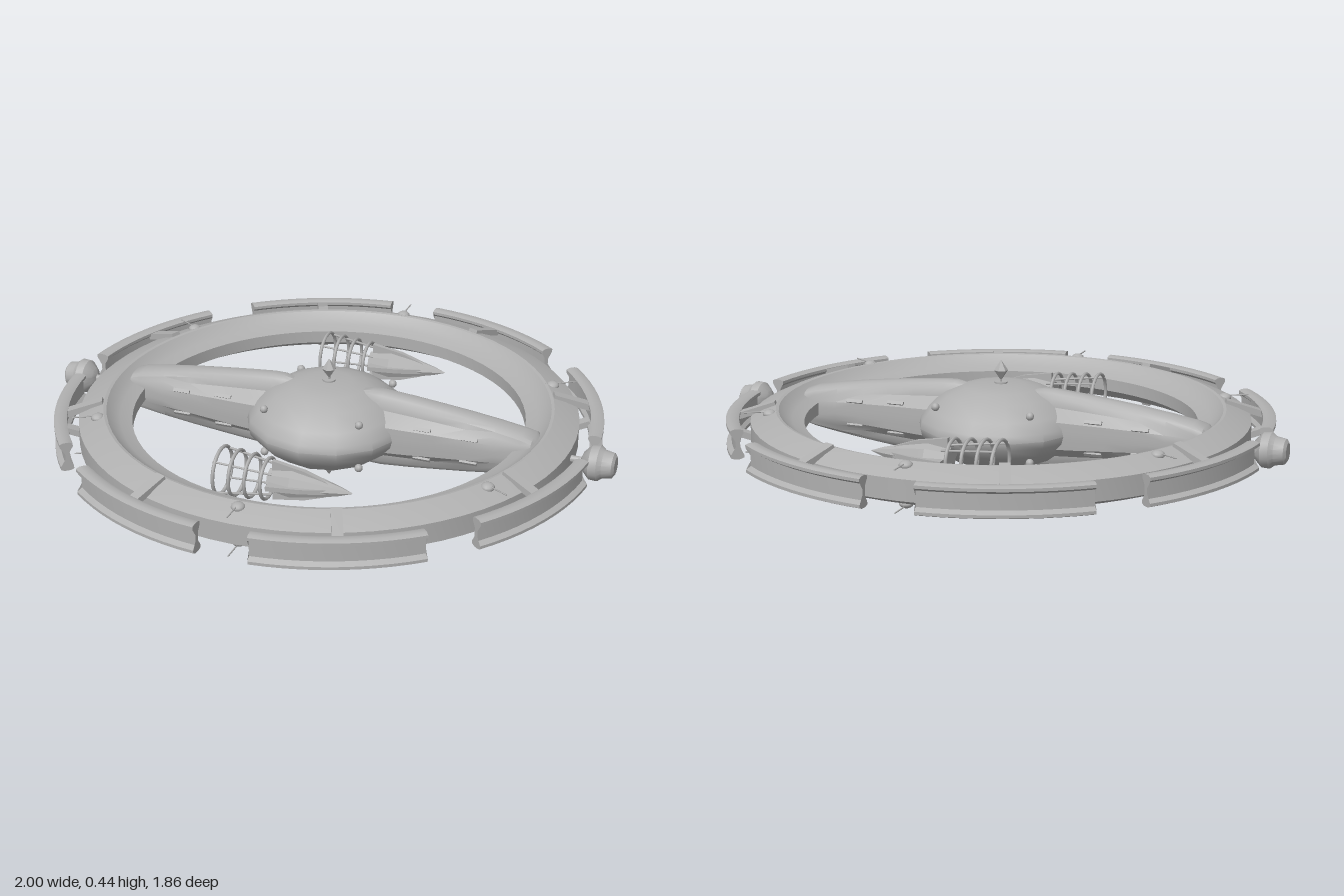
import * as THREE from 'three';
import { toCreasedNormals } from 'three/addons/utils/BufferGeometryUtils.js';

const MID = 0.22; // height of the symmetry plane
const V = (x, y, z) => new THREE.Vector3(x, y, z);

export function createModel() {
  const model = new THREE.Group();
  const hull = new THREE.MeshStandardMaterial({ color: 0xb0b0b0 });
  hull.name = 'hull grey';

  const add = (name, geo, parent, x = 0, y = 0, z = 0) => {
    const m = new THREE.Mesh(geo, hull);
    m.name = name;
    m.position.set(x, y, z);
    parent.add(m);
    return m;
  };
  const lathe = (pts, n) => new THREE.LatheGeometry(pts.map(p => new THREE.Vector2(p[0], p[1])), n);

  // Capped skin over matching closed cross-sections
  const loft = (sections, crease) => {
    const n = sections[0].length, pos = [], tris = [];
    const tri = (a, b, c) => tris.push([a, b, c]);
    for (let s = 0; s < sections.length - 1; s++) for (let i = 0; i < n; i++) {
      const j = (i + 1) % n, A = sections[s], B = sections[s + 1];
      tri(A[i], A[j], B[j]);
      tri(A[i], B[j], B[i]);
    }
    const cap = (S, flip) => {
      const c = S.reduce((a, p) => a.add(p), V(0, 0, 0)).divideScalar(n);
      S.forEach((p, i) => { const q = S[(i + 1) % n]; flip ? tri(c, q, p) : tri(c, p, q); });
    };
    cap(sections[0], true);
    cap(sections[sections.length - 1], false);
    const volume = tris.reduce((v, [a, b, c]) => v + a.dot(b.clone().cross(c)), 0);
    for (const [a, b, c] of tris) for (const p of volume < 0 ? [a, c, b] : [a, b, c]) pos.push(p.x, p.y, p.z);
    const g = new THREE.BufferGeometry();
    g.setAttribute('position', new THREE.Float32BufferAttribute(pos, 3));
    return toCreasedNormals(g, crease);
  };

  // Main ring: a ridge above and below, hollowing inward to a thin rim
  const ringHalf = [[0.85, 0.035], [0.805, 0.056], [0.765, 0.07], [0.755, 0.068], [0.735, 0.048], [0.71, 0.034], [0.67, 0.022]];
  const ring = [...ringHalf.map(([r, y]) => [r, -y]).reverse(), ...ringHalf, [0.67, -0.022]];
  add('ring', toCreasedNormals(lathe(ring, 72), 0.5), model, 0, MID);

  // Outer arc panels with a waisted section, each on two struts
  const panelSection = [[0.888, -0.046], [0.9, -0.051], [0.92, -0.051], [0.932, -0.046], [0.932, -0.036], [0.915, -0.026],
    [0.915, 0.026], [0.932, 0.036], [0.932, 0.046], [0.92, 0.051], [0.9, 0.051], [0.888, 0.046],
    [0.888, 0.036], [0.9, 0.026], [0.9, -0.026], [0.888, -0.036]];
  for (let k = 0; k < 8; k++) {
    const panel = new THREE.Group();
    panel.name = 'panelAssembly';
    panel.position.y = MID;
    panel.rotation.y = (k + 0.5) * Math.PI / 4;
    model.add(panel);
    const sections = [];
    for (let i = 0; i <= 10; i++) {
      const a = THREE.MathUtils.degToRad(-17 + 3.4 * i);
      sections.push(panelSection.map(([r, y]) => V(r * Math.cos(a), y, r * Math.sin(a))));
    }
    add('arcPanel', loft(sections, 0.7), panel);
    for (const s of [1, -1]) {
      const strut = add('panelStrut', new THREE.BoxGeometry(0.135, 0.022, 0.036), panel, 0.832, s * 0.05, 0);
      strut.rotation.z = -s * 0.3;
    }
  }

  // Sensor domes with spikes on both faces of the ring
  for (let k = 0; k < 6; k++) for (const s of [1, -1]) {
    const sensor = new THREE.Group();
    sensor.name = 'ringSensor';
    sensor.position.y = MID;
    sensor.rotation.y = Math.PI / 6 + k * Math.PI / 3;
    model.add(sensor);
    const dome = add('sensorDome', new THREE.SphereGeometry(0.023, 12, 8), sensor, 0.785, s * 0.061);
    dome.scale.y = 0.65;
    const spike = add('sensorSpike', new THREE.CylinderGeometry(0.0025, 0.0025, 0.11, 5), sensor, 0.815, s * 0.068);
    spike.rotation.z = Math.PI / 2;
  }

  // Central hub
  const half = [[0.285, 0], [0.279, 0.025], [0.25, 0.06], [0.19, 0.105], [0.13, 0.13], [0.08, 0.139], [0.001, 0.141]];
  const hubProfile = [...half.slice(1).reverse().map(([r, y]) => [r, -y]), ...half];
  add('hub', toCreasedNormals(lathe(hubProfile, 14), 0.6), model, 0, MID);

  // Masts with diamond beacons, and small hub domes
  for (const s of [1, -1]) {
    add('hubCap', new THREE.CylinderGeometry(0.022, 0.022, 0.012, 16), model, 0, MID + s * 0.14);
    add('mast', new THREE.CylinderGeometry(0.004, 0.004, 0.06, 6), model, 0, MID + s * 0.16);
    const beacon = lathe([[0.001, -0.035], [0.024, 0], [0.001, 0.035]], 6);
    add('beacon', toCreasedNormals(beacon, 0.2), model, 0, MID + s * 0.185);
    for (const x of [-0.17, 0.17]) for (const z of [-0.17, 0.17])
      add('hubDome', new THREE.SphereGeometry(0.014, 10, 8), model, x, MID + s * 0.08, z);
  }

  // Arms: x, spine half width, body half width, half height
  const armStations = [[0.12, 0.03, 0.06, 0.128], [0.16, 0.042, 0.085, 0.137], [0.2, 0.046, 0.102, 0.137],
    [0.3, 0.047, 0.094, 0.128], [0.4, 0.047, 0.083, 0.117], [0.5, 0.048, 0.074, 0.105], [0.6, 0.051, 0.067, 0.09],
    [0.69, 0.056, 0.061, 0.073], [0.725, 0.058, 0.06, 0.062], [0.74, 0.045, 0.046, 0.045]];
  const armSection = (x, w, b, h) => {
    const side = [[b, 0.1], [b * 0.98, 0.35], [w, 0.62], [w * 0.9, 0.82], [w * 0.65, 0.94], [w * 0.3, 1]];
    const top = [...side, ...side.map(([z, y]) => [-z, y]).reverse()];
    const loop = [...top, ...top.map(([z, y]) => [z, -y]).reverse()];
    return loop.map(([z, y]) => V(x, MID + y * h, z));
  };
  const podProfile = [[0.001, 0.73], [0.014, 0.74], [0.014, 0.79], [0.022, 0.81], [0.012, 0.845], [0.012, 0.885],
    [0.032, 0.892], [0.058, 0.918], [0.06, 0.945], [0.048, 0.96], [0.042, 0.992], [0.03, 1], [0.001, 1]];
  for (const s of [1, -1]) {
    add('arm', loft(armStations.map(([x, ...r]) => armSection(s * x, ...r)), 0.6), model);
    // Raised slots along the arm flanks
    for (const x of [0.36, 0.52]) for (const e of [1, -1]) for (const u of [1, -1]) {
      const slot = add('armSlot', new THREE.BoxGeometry(0.06, 0.012, 0.008), model,
        s * x, MID + u * (0.08 - 0.07 * x), e * (0.098 - 0.05 * x));
      slot.rotation.x = -e * u * 0.6;
    }
    // Docking pod at the ring's tip
    const pod = add('tipPod', toCreasedNormals(lathe(podProfile, 20), 0.5), model, 0, MID);
    pod.rotation.z = -s * Math.PI / 2;
  }

  // Two small craft floating inside the ring, noses toward +x
  for (const z of [-0.48, 0.48]) {
    const craft = new THREE.Group();
    craft.name = 'smallCraft';
    craft.position.set(0, MID, z);
    model.add(craft);
    const body = lathe([[0.001, -0.02], [0.038, -0.02], [0.05, 0.06], [0.034, 0.15], [0.016, 0.22], [0.001, 0.262]], 8);
    add('craftBody', toCreasedNormals(body, 0.3), craft).rotation.z = -Math.PI / 2;
    // Swept fins
    const fin = new THREE.Shape([[-0.01, 0.03], [0.22, 0.005], [0.17, 0.028], [0.1, 0.052], [-0.01, 0.07]].map(p => new THREE.Vector2(...p)));
    const finGeo = new THREE.ExtrudeGeometry(fin, { depth: 0.016, bevelEnabled: false }).translate(0, 0, -0.008);
    for (let k = 0; k < 4; k++) add('craftFin', finGeo, craft).rotation.x = k * Math.PI / 2;
    // Open cage of hoops and rails
    [-0.188, -0.135, -0.082, -0.028].forEach((x, k) => {
      const hoop = new THREE.TorusGeometry(0.08 - k * 0.004, 0.006, 6, 24);
      add('cageHoop', hoop, craft, x).rotation.y = Math.PI / 2;
    });
    for (let k = 0; k < 4; k++) {
      const a = (k + 0.5) * Math.PI / 2;
      const at = (x, r) => V(x, r * Math.sin(a), r * Math.cos(a));
      const rail = new THREE.LineCurve3(at(-0.195, 0.08), at(0, 0.05));
      add('cageRail', new THREE.TubeGeometry(rail, 1, 0.004, 6), craft);
    }
  }
  return model;
}
